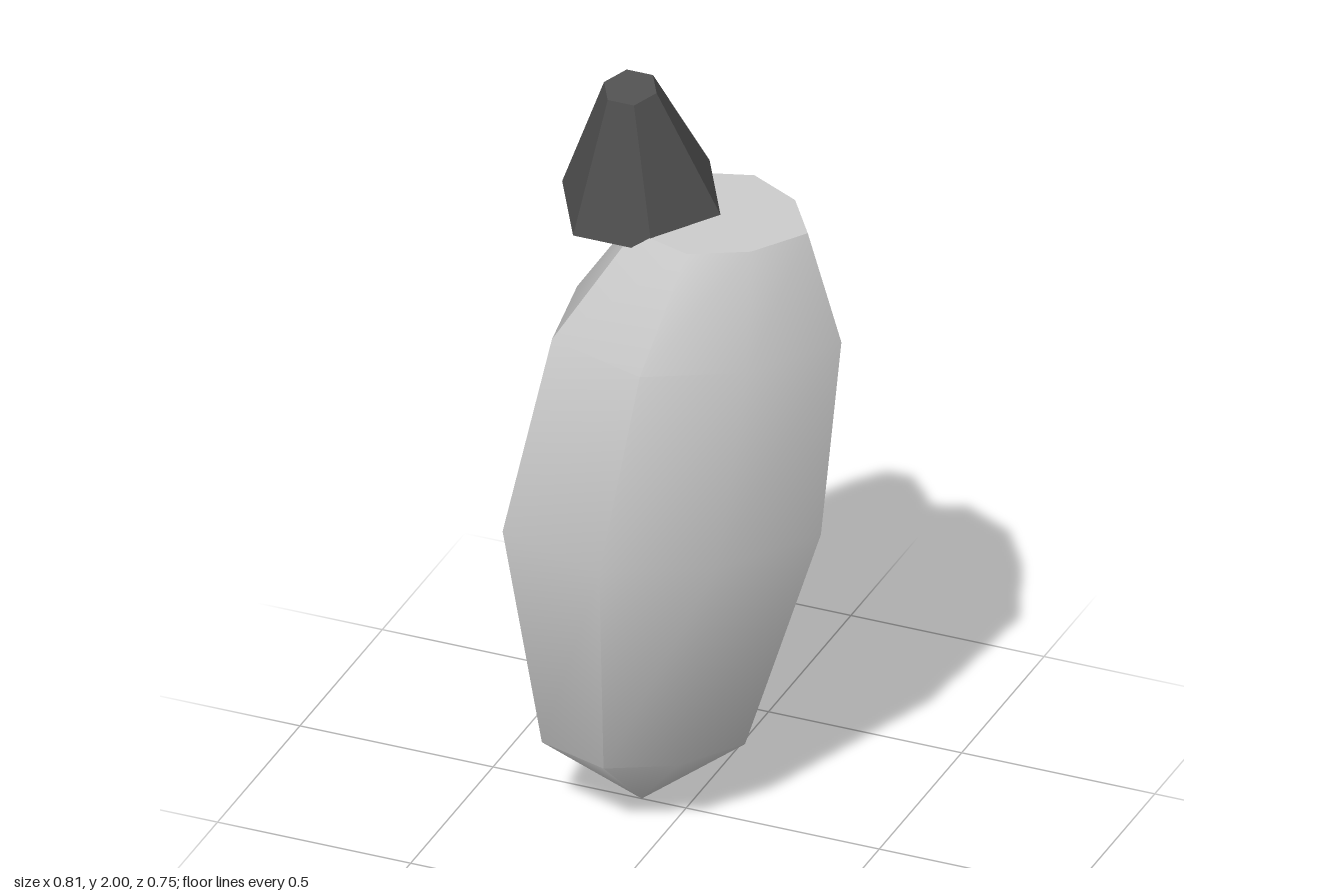
import * as THREE from 'three';
import { toCreasedNormals } from 'three/addons/utils/BufferGeometryUtils.js';

// Unit cross-section, one half from the blunt side (-x) to the sharp edge (+x)
const half = [[-1, 0], [-0.87, 0.755], [-0.1, 1], [0.56, 0.655], [1, 0]];
const section = [...half, ...half.slice(1, -1).reverse().map(([x, z]) => [x, -z])];

// Height, centre x and radius of each ring, from the bottom tip to the flat top
const rings = [
  [0, -0.115, 0],
  [0.21, -0.0875, 0.24],
  [0.83, -0.027, 0.376],
  [1.37, 0.06, 0.342],
  [1.65, 0.11, 0.205],
];

function bodyGeometry() {
  const n = section.length;
  const positions = [];
  const index = [];
  for (const [y, cx, r] of rings.slice(1)) {
    for (const [x, z] of section) positions.push(cx + x * r, y, z * r);
  }
  const tip = positions.length / 3;
  positions.push(rings[0][1], rings[0][0], 0);
  const top = tip + 1;
  const last = rings[rings.length - 1];
  positions.push(last[1], last[0], 0);

  const levels = rings.length - 1;
  for (let i = 0; i < n; i++) {
    const j = (i + 1) % n;
    index.push(tip, j, i); // pointed underside
    for (let k = 0; k < levels - 1; k++) {
      const a = k * n + i, b = k * n + j;
      index.push(a, b, b + n, a, b + n, a + n);
    }
    const t = (levels - 1) * n;
    index.push(top, t + i, t + j); // flat top
  }
  const geometry = new THREE.BufferGeometry();
  geometry.setAttribute('position', new THREE.Float32BufferAttribute(positions, 3));
  geometry.setIndex(index);
  return toCreasedNormals(geometry, THREE.MathUtils.degToRad(52));
}

export function createModel() {
  const lightGrey = new THREE.MeshStandardMaterial({ color: 0xcccccc });
  lightGrey.name = 'lightGrey';
  const darkGrey = new THREE.MeshStandardMaterial({ color: 0x505050 });
  darkGrey.name = 'darkGrey';

  const model = new THREE.Group();
  model.name = 'model';

  const body = new THREE.Mesh(bodyGeometry(), lightGrey);
  body.name = 'body';
  model.add(body);

  // Tilted six-sided cap, with its pivot at the centre of its base
  const height = 0.345;
  const capGeometry = toCreasedNormals(
    new THREE.CylinderGeometry(0.068, 0.205, height, 6, 1, false, Math.PI / 6), 0.1);
  capGeometry.translate(0, height / 2, 0);
  const cap = new THREE.Mesh(capGeometry, darkGrey);
  cap.name = 'cap';
  cap.position.set(-0.116, 1.65, 0);
  cap.rotation.x = 0.195;
  model.add(cap);

  return model;
}
